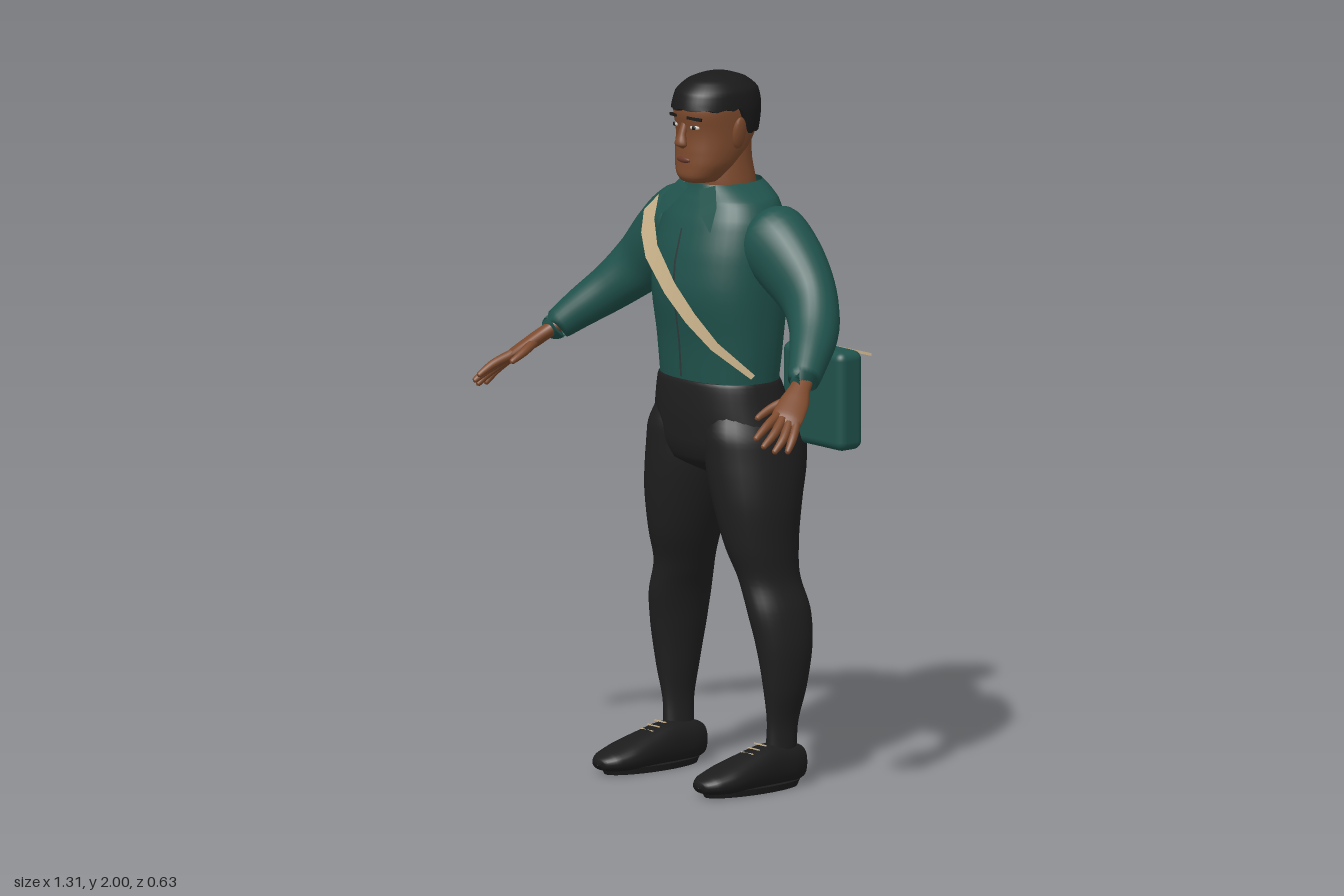
import * as THREE from 'three';
import { RoundedBoxGeometry } from 'three/addons/geometries/RoundedBoxGeometry.js';

const mat = (name, color, side = THREE.FrontSide) => {
  const m = new THREE.MeshStandardMaterial({ color, side });
  m.name = name;
  return m;
};

// Smooth closed skin through rows of [x, y, z, radiusA, radiusB].
// Without ref the rings stay level (A across x, B across z); with ref they turn with the path.
function loft(rows, { ref = null, p = 2, seg = 28, sub = 5 } = {}) {
  const path = new THREE.CatmullRomCurve3(rows.map(r => new THREE.Vector3(r[0], r[1], r[2])));
  const size = new THREE.CatmullRomCurve3(rows.map(r => new THREE.Vector3(r[3], r[4], 0)));
  const n = (rows.length - 1) * sub, pos = [], idx = [];
  const pw = c => Math.sign(c) * Math.pow(Math.abs(c), 2 / p);
  for (let i = 0; i <= n; i++) {
    const c = path.getPoint(i / n), s = size.getPoint(i / n), t = new THREE.Vector3(), u = new THREE.Vector3(1, 0, 0);
    if (ref) {
      t.copy(path.getTangent(i / n));
      u.crossVectors(t, ref).normalize();
    } else t.set(0, Math.sign(rows[rows.length - 1][1] - rows[0][1]), 0);
    const v = new THREE.Vector3().crossVectors(t, u);
    for (let j = 0; j < seg; j++) {
      const a = j / seg * Math.PI * 2;
      const q = c.clone().addScaledVector(u, pw(Math.cos(a)) * Math.max(s.x, 0)).addScaledVector(v, pw(Math.sin(a)) * Math.max(s.y, 0));
      pos.push(q.x, q.y, q.z);
      if (i < n) {
        const k = i * seg + j, l = i * seg + (j + 1) % seg;
        idx.push(k, l, k + seg, l, l + seg, k + seg);
      }
    }
  }
  const g = new THREE.BufferGeometry();
  g.setAttribute('position', new THREE.Float32BufferAttribute(pos, 3));
  g.setIndex(idx);
  g.computeVertexNormals();
  return g;
}

// Level rings given as [y, halfWidth, zFront, zBack, x]
const rings = list => list.map(([y, rx, zf, zb, x = 0]) => [x, y, (zf + zb) / 2, rx, (zf - zb) / 2]);

// Flat band through [x, y, z, halfWidth], spread along dir
function ribbon(rows, dir) {
  const pos = [], idx = [], d = new THREE.Vector3(...dir).normalize();
  rows.forEach(([x, y, z, w], i) => {
    for (const s of [-w, w]) pos.push(x + d.x * s, y + d.y * s, z + d.z * s);
    if (i) idx.push(2 * i - 2, 2 * i - 1, 2 * i, 2 * i - 1, 2 * i + 1, 2 * i);
  });
  const g = new THREE.BufferGeometry();
  g.setAttribute('position', new THREE.Float32BufferAttribute(pos, 3));
  g.setIndex(idx);
  g.computeVertexNormals();
  return g;
}

// Move every vertex height by a rule
function setHeights(g, rule) {
  const p = g.attributes.position;
  for (let i = 0; i < p.count; i++) p.setY(i, rule(p.getX(i), p.getY(i), p.getZ(i)));
  g.computeVertexNormals();
  return g;
}

export function createModel() {
  const skin = mat('skin', 0x7d4a2d), lip = mat('lips', 0x68392a), hair = mat('hair', 0x1a1a1b);
  const shirt = mat('greenCloth', 0x20524c, THREE.DoubleSide), pants = mat('blackCloth', 0x1f1f20);
  const tan = mat('tanStrap', 0xc9b28a, THREE.DoubleSide), white = mat('eyeWhite', 0xcfc6bd);
  const seam = mat('zipper', 0x2e3a3a, THREE.DoubleSide), shoe = mat('shoeBlack', 0x1c1c1d);
  const model = new THREE.Group();
  const add = (name, geo, m, x = 0, y = 0, z = 0) => {
    const mesh = new THREE.Mesh(geo, m);
    mesh.name = name;
    mesh.position.set(x, y, z);
    model.add(mesh);
    return mesh;
  };
  const Z = new THREE.Vector3(0, 0, 1), Y = new THREE.Vector3(0, 1, 0);

  // Head, neck and hair
  add('head', loft(rings([
    [1.692, 0.004, 0.02, -0.02], [1.698, 0.045, 0.056, -0.05], [1.715, 0.062, 0.07, -0.07], [1.75, 0.081, 0.07, -0.1],
    [1.79, 0.089, 0.068, -0.14], [1.84, 0.093, 0.066, -0.168], [1.9, 0.096, 0.076, -0.178],
    [1.95, 0.085, 0.055, -0.16], [1.98, 0.05, 0.015, -0.12], [1.988, 0.001, -0.05, -0.052]]), { p: 2.3 }), skin);
  add('neck', loft(rings([[1.6, 0.09, 0, -0.18], [1.69, 0.083, 0.005, -0.172], [1.75, 0.076, 0, -0.16], [1.85, 0.07, -0.02, -0.155]])), skin);
  const hairGeo = loft(rings([
    [1.83, 0.098, 0.074, -0.176], [1.86, 0.1, 0.078, -0.182], [1.9, 0.102, 0.084, -0.186], [1.95, 0.095, 0.07, -0.176],
    [1.98, 0.068, 0.035, -0.14], [1.996, 0.03, -0.01, -0.09], [2, 0.001, -0.05, -0.052]]), { p: 2.2, seg: 48 });
  add('hair', setHeights(hairGeo, (x, y, z) =>
    Math.max(y, 1.83 + 0.075 * THREE.MathUtils.smoothstep(z, -0.085, -0.055) + 0.004 * Math.sin(z * 160 + x * 90))), hair);

  // Face
  add('nose', loft([[0, 1.87, 0.062, 0.01, 0.008], [0, 1.835, 0.073, 0.013, 0.011], [0, 1.808, 0.077, 0.021, 0.015], [0, 1.795, 0.07, 0.003, 0.003]], { seg: 14 }), skin);
  add('mouth', new THREE.SphereGeometry(1, 16, 8).scale(0.028, 0.009, 0.008), lip, 0, 1.763, 0.067);
  for (const s of [-1, 1]) {
    add('eye', new THREE.SphereGeometry(1, 14, 8).scale(0.016, 0.006, 0.005), white, s * 0.041, 1.858, 0.061).rotation.y = s * 0.35;
    add('pupil', new THREE.SphereGeometry(1, 10, 8).scale(0.007, 0.0062, 0.004), hair, s * 0.041, 1.858, 0.0645);
    const brow = add('eyebrow', new THREE.BoxGeometry(0.046, 0.008, 0.008), hair, s * 0.044, 1.884, 0.065);
    brow.rotation.set(0, s * 0.35, s * -0.08);
    add('ear', new THREE.SphereGeometry(1, 12, 10).scale(0.011, 0.046, 0.024), skin, s * 0.099, 1.838, -0.052).rotation.z = s * -0.15;
  }

  // Sweater, collar flaps and zipper
  add('sweater', loft(rings([
    [1.13, 0.188, 0.068, -0.195], [1.25, 0.198, 0.078, -0.21], [1.4, 0.203, 0.1, -0.228], [1.5, 0.2, 0.088, -0.23],
    [1.59, 0.188, 0.06, -0.222], [1.645, 0.16, 0.035, -0.21], [1.672, 0.12, 0.022, -0.2], [1.69, 0.088, 0.016, -0.19]]), { p: 2.3, seg: 40 }), shirt);
  for (const s of [-1, 1]) {
    add('collarFlap', ribbon([[s * 0.05, 1.685, 0.022, 0.028], [s * 0.09, 1.63, 0.054, 0.03], [s * 0.12, 1.575, 0.072, 0.002]], [s, 0.35, -0.3]), shirt);
  }
  add('zipper', ribbon([[0, 1.15, 0.076, 0.004], [0, 1.25, 0.083, 0.004], [0, 1.4, 0.105, 0.004], [0, 1.48, 0.098, 0.004], [0, 1.57, 0.074, 0.003]], [1, 0, 0]), seam);

  // Arms and hands
  for (const s of [-1, 1]) {
    const m = rows => rows.map(([x, ...r]) => [s * x, ...r]);
    add('sleeve', loft(m([
      [0.12, 1.56, -0.1, 0.05, 0.06], [0.19, 1.535, -0.1, 0.115, 0.1], [0.28, 1.472, -0.1, 0.106, 0.09],
      [0.36, 1.4, -0.088, 0.088, 0.075], [0.43, 1.33, -0.045, 0.069, 0.07], [0.49, 1.265, 0.025, 0.055, 0.056],
      [0.532, 1.213, 0.082, 0.04, 0.04], [0.531, 1.214, 0.081, 0.02, 0.02]]), { ref: Z }), shirt);
    // Rings of the palm are wide across the knuckles and thin through the hand
    const across = new THREE.Vector3(s * 0.75, -0.2, -0.63).normalize();
    add('palm', loft(m([
      [0.52, 1.23, 0.06, 0.022, 0.026], [0.545, 1.198, 0.105, 0.021, 0.03], [0.568, 1.168, 0.145, 0.02, 0.042],
      [0.592, 1.138, 0.188, 0.016, 0.045], [0.605, 1.12, 0.21, 0.008, 0.036], [0.608, 1.117, 0.214, 0.001, 0.002]]), { ref: across, seg: 20 }), skin);
    const fingers = [
      [[0.572, 1.143, 0.208], [0.588, 1.12, 0.262], [0.597, 1.092, 0.308]],
      [[0.59, 1.134, 0.205], [0.614, 1.102, 0.256], [0.622, 1.072, 0.302]],
      [[0.606, 1.124, 0.196], [0.632, 1.088, 0.238], [0.639, 1.057, 0.276]],
      [[0.617, 1.122, 0.178], [0.641, 1.086, 0.212], [0.65, 1.054, 0.238]],
      [[0.548, 1.178, 0.142], [0.531, 1.155, 0.198], [0.529, 1.132, 0.246]]];
    for (const [a, b, c] of fingers) {
      add('finger', loft(m([[...a, 0.014, 0.014], [...b, 0.0125, 0.0125], [...c, 0.008, 0.008],
        [c[0] + 0.001, c[1] - 0.003, c[2] + 0.004, 0.001, 0.001]]), { ref: across, seg: 10, sub: 4 }), skin);
    }
  }

  // Trousers
  add('hips', loft(rings([
    [1.142, 0.175, 0.06, -0.185], [1.14, 0.19, 0.074, -0.2], [1.05, 0.212, 0.078, -0.228], [0.97, 0.228, 0.07, -0.235],
    [0.91, 0.19, 0.05, -0.21], [0.86, 0.04, -0.04, -0.12]]), { p: 2.3, seg: 36 }), pants);
  for (const s of [-1, 1]) {
    add('trouserLeg', loft(rings([
      [1.06, 0.09, 0.05, -0.21, 0.11], [0.98, 0.118, 0.07, -0.25, 0.121], [0.9, 0.122, 0.066, -0.24, 0.13],
      [0.8, 0.113, 0.056, -0.21, 0.147], [0.68, 0.09, 0.034, -0.19, 0.165], [0.58, 0.07, 0.004, -0.187, 0.185],
      [0.5, 0.067, 0, -0.2, 0.212], [0.4, 0.062, -0.018, -0.196, 0.228], [0.28, 0.046, -0.038, -0.176, 0.231],
      [0.17, 0.028, -0.052, -0.154, 0.224], [0.08, 0.032, -0.05, -0.15, 0.22]].map(([y, r, f, b, x]) => [y, r, f, b, s * x]))), pants);

    // Shoe with flat sole and laces
    const shoeGeo = loft([
      [0.215, 0.062, -0.181, 0.002, 0.002], [0.215, 0.062, -0.172, 0.035, 0.045], [0.215, 0.064, -0.13, 0.048, 0.058],
      [0.215, 0.064, -0.06, 0.054, 0.062], [0.216, 0.056, 0.02, 0.063, 0.052], [0.217, 0.044, 0.1, 0.069, 0.04],
      [0.217, 0.036, 0.16, 0.056, 0.028], [0.217, 0.032, 0.19, 0.03, 0.016], [0.217, 0.03, 0.197, 0.001, 0.001]]
      .map(([x, ...r]) => [s * x, ...r]), { ref: Y, p: 2.3 });
    add('shoe', setHeights(shoeGeo, (x, y) => Math.max(y, 0.012)), shoe);
    add('sole', new THREE.CylinderGeometry(1, 0.94, 0.018, 28).scale(0.062, 1, 0.172), shoe, s * 0.216, 0.009, 0.004);
    for (let i = 0; i < 3; i++) {
      add('lace', new THREE.BoxGeometry(0.05, 0.003, 0.004), tan, s * 0.216, 0.126 - i * 0.009, -0.03 + i * 0.024);
    }
  }

  // Shoulder bag and its strap
  add('bag', new RoundedBoxGeometry(0.26, 0.28, 0.088, 4, 0.025), shirt, 0.262, 1.1, -0.217);
  add('frontStrap', ribbon([
    [-0.185, 1.61, 0.028, 0.034], [-0.145, 1.555, 0.075, 0.03], [-0.09, 1.495, 0.108, 0.027], [0, 1.405, 0.118, 0.023],
    [0.08, 1.33, 0.11, 0.02], [0.16, 1.26, 0.09, 0.015], [0.27, 1.183, 0.042, 0.009]], [0.65, 0.72, -0.25]), tan);
  add('backStrap', ribbon([[0.08, 1.2, -0.3, 0.004], [0.22, 1.214, -0.315, 0.004], [0.38, 1.222, -0.295, 0.004]], [0, 1, 0]), tan);

  return model;
}
